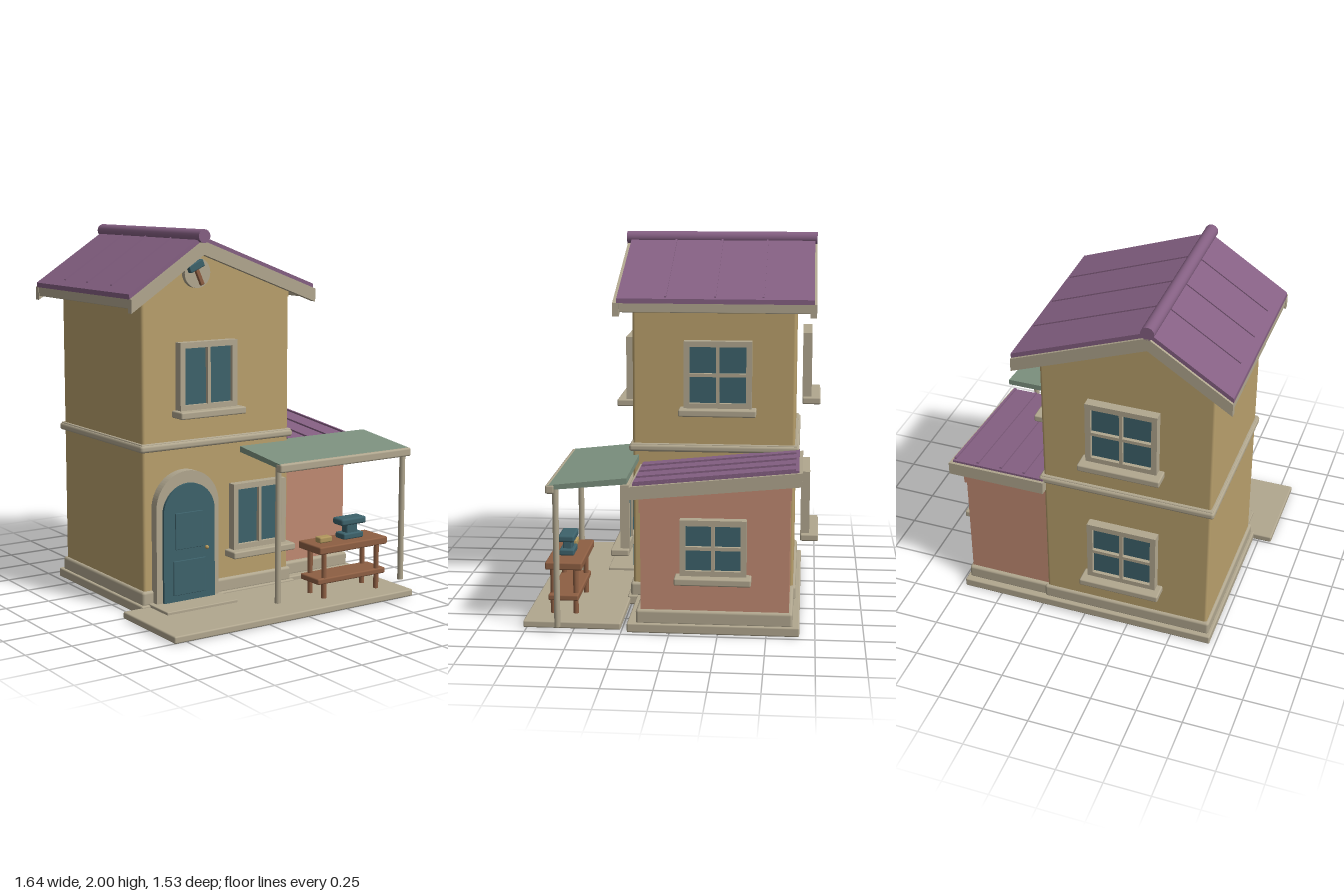
import * as THREE from 'three';
import { RoundedBoxGeometry } from 'three/addons/geometries/RoundedBoxGeometry.js';

const mat = (name, color) => Object.assign(new THREE.MeshStandardMaterial({ color }), { name });
const M = {
  wall: mat('ochre plaster', 0xb9a06c),
  annex: mat('pink plaster', 0xc08a72),
  trim: mat('pale stone', 0xb1a78f),
  roof: mat('purple roofing', 0x85608350 >>> 8),
  teal: mat('dark teal', 0x3d626b),
  awning: mat('sage canvas', 0x7c917f),
  wood: mat('brown wood', 0x8e5f43),
  brass: mat('brass', 0xb0965c),
};

function add(parent, name, geo, material) {
  const mesh = new THREE.Mesh(geo, material);
  mesh.name = name;
  parent.add(mesh);
  return mesh;
}

// Softly bevelled box given by its extents
function box(parent, name, material, [x0, x1], [y0, y1], [z0, z1], r = 0.008) {
  const s = [x1 - x0, y1 - y0, z1 - z0];
  const geo = new RoundedBoxGeometry(...s, 2, Math.min(r, Math.min(...s) * 0.45));
  geo.translate((x0 + x1) / 2, (y0 + y1) / 2, (z0 + z1) / 2);
  return add(parent, name, geo, material);
}

const poly = (pts) => new THREE.Shape(pts.map(([x, y]) => new THREE.Vector2(x, y)));
const extrude = (shape, depth) =>
  new THREE.ExtrudeGeometry(shape, { depth, bevelEnabled: false, curveSegments: 20 });

// (x, y) outline swept from z0 to z1
function prismZ(parent, name, material, pts, z0, z1) {
  return add(parent, name, extrude(poly(pts), z1 - z0).translate(0, 0, z0), material);
}

// (z, y) outline swept from x0 to x1
function prismX(parent, name, material, pts, x0, x1) {
  const geo = extrude(poly(pts), x1 - x0).rotateY(-Math.PI / 2).translate(x1, 0, 0);
  return add(parent, name, geo, material);
}

function rectPath(x0, x1, y0, y1) {
  return poly([[x0, y0], [x1, y0], [x1, y1], [x0, y1]]);
}

// Window facing +z, with its frame bottom at y = 0 and its back at z = 0
function makeWindow(parent, name, w, h, rows, [x, y, z], turn, sillExtra = 0.05) {
  const g = new THREE.Group();
  g.name = name;
  const border = 0.03, bar = 0.018, cols = 2;
  const pw = (w - 2 * border - bar) / cols;
  const ph = (h - 2 * border - bar * (rows - 1)) / rows;
  const frame = rectPath(-w / 2, w / 2, 0, h);
  for (let i = 0; i < cols; i++) for (let j = 0; j < rows; j++) {
    const px = -w / 2 + border + i * (pw + bar), py = border + j * (ph + bar);
    frame.holes.push(rectPath(px, px + pw, py, py + ph));
  }
  add(g, 'windowFrame', extrude(frame, 0.05), M.trim);
  box(g, 'glass', M.teal, [-w / 2 + 0.01, w / 2 - 0.01], [0.01, h - 0.01], [0.012, 0.03], 0.002);
  const sw = (w + sillExtra) / 2;
  box(g, 'sill', M.trim, [-sw, sw], [-0.035, 0.003], [0, 0.1]);
  g.position.set(x, y, z);
  g.rotation.y = turn;
  parent.add(g);
}

function archShape(r, spring) {
  const s = new THREE.Shape();
  s.moveTo(-r, 0);
  s.lineTo(r, 0);
  s.lineTo(r, spring);
  s.absarc(0, spring, r, 0, Math.PI, false);
  s.closePath();
  return s;
}

function buildTower(g) {
  box(g, 'towerSlab', M.trim, [-0.72, 0.26], [0.005, 0.055], [-0.67, 0.27]);
  box(g, 'towerPlinth', M.trim, [-0.705, 0.245], [0.045, 0.125], [-0.645, 0.255], 0.015);
  box(g, 'towerWalls', M.wall, [-0.69, 0.23], [0.05, 1.64], [-0.63, 0.24], 0.015);
  box(g, 'floorBand', M.trim, [-0.71, 0.25], [0.86, 0.9], [-0.655, 0.26], 0.015);
  box(g, 'floorBandUpper', M.trim, [-0.702, 0.242], [0.89, 0.905], [-0.645, 0.252], 0.006);
  prismZ(g, 'gable', M.wall,
    [[-0.69, 1.625], [0.23, 1.625], [0.23, 1.7], [-0.37, 1.91], [-0.69, 1.7]], -0.63, 0.24);

  // Gable roof with an off-centre ridge
  const ridge = -0.37;
  for (const [side, ex, ey] of [['right', 0.34, 1.695], ['left', -0.8, 1.685]]) {
    const slab = (top, t, end = ex) => {
      const yEnd = ey + (1.965 - ey) * (ex - end) / (ex - ridge);
      const pts = [[ridge, 1.965 + top], [ridge, 1.965 + top - t], [end, yEnd + top - t], [end, yEnd + top]];
      return side === 'left' ? pts : pts.reverse();
    };
    prismZ(g, side + 'RoofPanel', M.roof, slab(0, 0.025), -0.722, 0.31);
    prismZ(g, side + 'RoofSoffit', M.trim, slab(-0.025, 0.02, ex * 0.985), -0.722, 0.31);
    for (const z of [-0.457, -0.205, 0.055])
      prismZ(g, side + 'RoofSeam', M.roof, slab(0.007, 0.012, ex * 0.95), z - 0.005, z + 0.005);
    for (const [z0, z1] of [[0.297, 0.332], [-0.735, -0.7]])
      prismZ(g, side + 'BargeBoard', M.trim, slab(-0.025, 0.07), z0, z1);
    const s = Math.sign(ex);
    box(g, side + 'EaveFascia', M.trim, [ex - s * 0.015 - 0.012, ex - s * 0.015 + 0.012],
      [ey - 0.073, ey - 0.022], [-0.71, 0.3], 0.004);
  }
  const cap = new THREE.CylinderGeometry(0.035, 0.035, 1.07, 20).rotateX(Math.PI / 2);
  add(g, 'ridgeCap', cap, M.roof).position.set(ridge, 1.965, -0.2);

  // Round plaque with a hammer
  const disc = new THREE.CylinderGeometry(0.078, 0.078, 0.03, 32).rotateX(Math.PI / 2);
  add(g, 'plaque', disc, M.trim).position.set(ridge, 1.775, 0.252);
  const hammer = new THREE.Group();
  hammer.name = 'hammer';
  box(hammer, 'hammerHandle', M.wood, [-0.011, 0.011], [-0.105, 0], [0, 0.02], 0.004);
  box(hammer, 'hammerHead', M.teal, [-0.047, 0.047], [-0.018, 0.022], [0, 0.03], 0.006);
  hammer.position.set(-0.39, 1.81, 0.266);
  hammer.rotation.z = 0.42;
  g.add(hammer);

  makeWindow(g, 'upperFrontWindow', 0.35, 0.355, 1, [-0.335, 1.07, 0.272], 0);
  makeWindow(g, 'lowerFrontWindow', 0.34, 0.36, 1, [-0.01, 0.29, 0.272], 0, 0.06);
  makeWindow(g, 'upperRightWindow', 0.36, 0.36, 2, [0.26, 1.11, -0.22], Math.PI / 2);
  for (const y of [0.345, 1.12])
    makeWindow(g, 'backWindow', 0.38, 0.355, 2, [-0.23, y, -0.665], Math.PI, 0.06);
}

function buildDoor(g) {
  const door = new THREE.Group();
  door.name = 'door';
  const surround = archShape(0.192, 0.5);
  surround.holes.push(archShape(0.157, 0.47));
  add(door, 'doorSurround', extrude(surround, 0.06), M.trim).position.z = 0.23;
  add(door, 'doorLeaf', extrude(archShape(0.157, 0.47), 0.07), M.teal).position.z = 0.235;
  for (const [x0, x1, y0, y1] of [[-0.088, 0.08, 0.28, 0.475], [-0.1, 0.098, 0.035, 0.22]])
    box(door, 'doorPanel', M.teal, [x0, x1], [y0, y1], [0.302, 0.311], 0.003);
  add(door, 'doorKnob', new THREE.SphereGeometry(0.011, 14, 10), M.brass).position.set(0.097, 0.275, 0.322);
  door.position.set(-0.449, 0.06, 0);
  g.add(door);
  box(g, 'doorStep', M.trim, [-0.67, -0.235], [0.035, 0.06], [0.25, 0.443], 0.005);
}

function buildAnnex(g) {
  box(g, 'annexSlab', M.trim, [0.2, 0.72], [0.005, 0.055], [-0.67, 0.22]);
  box(g, 'annexPlinth', M.trim, [0.22, 0.705], [0.045, 0.125], [-0.635, 0.175], 0.015);
  prismX(g, 'annexWalls', M.annex,
    [[0.15, 0.05], [0.15, 0.74], [-0.615, 0.82], [-0.615, 0.05]].reverse(), 0.22, 0.69);
  prismX(g, 'annexWallBand', M.annex,
    [[0.157, 0.64], [0.157, 0.73], [-0.622, 0.81], [-0.622, 0.72]].reverse(), 0.225, 0.702);
  // Lean-to roof rising towards the back
  prismX(g, 'leanToFascia', M.trim,
    [[0.2, 0.72], [0.2, 0.787], [-0.675, 0.876], [-0.675, 0.805]].reverse(), 0.22, 0.76);
  prismX(g, 'leanToRoof', M.roof,
    [[0.185, 0.78], [0.185, 0.8], [-0.657, 0.886], [-0.657, 0.866]].reverse(), 0.225, 0.742);
  for (const x of [0.34, 0.472, 0.606, 0.735])
    prismX(g, 'leanToSeam', M.roof,
      [[0.18, 0.79], [0.18, 0.81], [-0.64, 0.894], [-0.64, 0.874]].reverse(), x - 0.006, x + 0.006);
  makeWindow(g, 'annexWindow', 0.34, 0.295, 2, [0.715, 0.328, -0.228], Math.PI / 2);
}

function buildPorch(g) {
  box(g, 'patio', M.trim, [-0.825, 0.695], [0.008, 0.045], [0.255, 0.767]);
  prismX(g, 'awning', M.awning,
    [[0.612, 0.77], [0.612, 0.795], [0.207, 0.84], [0.207, 0.808]].reverse(), -0.088, 0.785);
  box(g, 'awningBeam', M.trim, [-0.09, 0.79], [0.75, 0.796], [0.575, 0.622], 0.01);
  for (const x of [-0.07, 0.77])
    add(g, 'awningPost', new THREE.CylinderGeometry(0.016, 0.016, 0.73, 14), M.trim).position.set(x, 0.41, 0.572);

  // Workbench
  box(g, 'benchTop', M.wood, [0.137, 0.595], [0.292, 0.333], [0.47, 0.665]);
  box(g, 'benchShelf', M.wood, [0.137, 0.595], [0.125, 0.157], [0.49, 0.65]);
  for (const x of [0.188, 0.545]) for (const z of [0.51, 0.632])
    add(g, 'benchLeg', new THREE.CylinderGeometry(0.014, 0.014, 0.26, 12), M.wood).position.set(x, 0.172, z);
  box(g, 'anvilBase', M.teal, [0.34, 0.472], [0.335, 0.368], [0.53, 0.61]);
  box(g, 'anvilNeck', M.teal, [0.37, 0.443], [0.36, 0.42], [0.545, 0.595]);
  box(g, 'anvilTop', M.teal, [0.323, 0.49], [0.412, 0.45], [0.525, 0.613], 0.012);
  box(g, 'ingot', M.brass, [0.19, 0.272], [0.333, 0.365], [0.545, 0.595]);
}

export function createModel() {
  const model = new THREE.Group();
  model.name = 'workshopHouse';
  const parts = { tower: buildTower, entrance: buildDoor, annex: buildAnnex, porch: buildPorch };
  for (const [name, build] of Object.entries(parts)) {
    const g = new THREE.Group();
    g.name = name;
    build(g);
    model.add(g);
  }
  return model;
}
